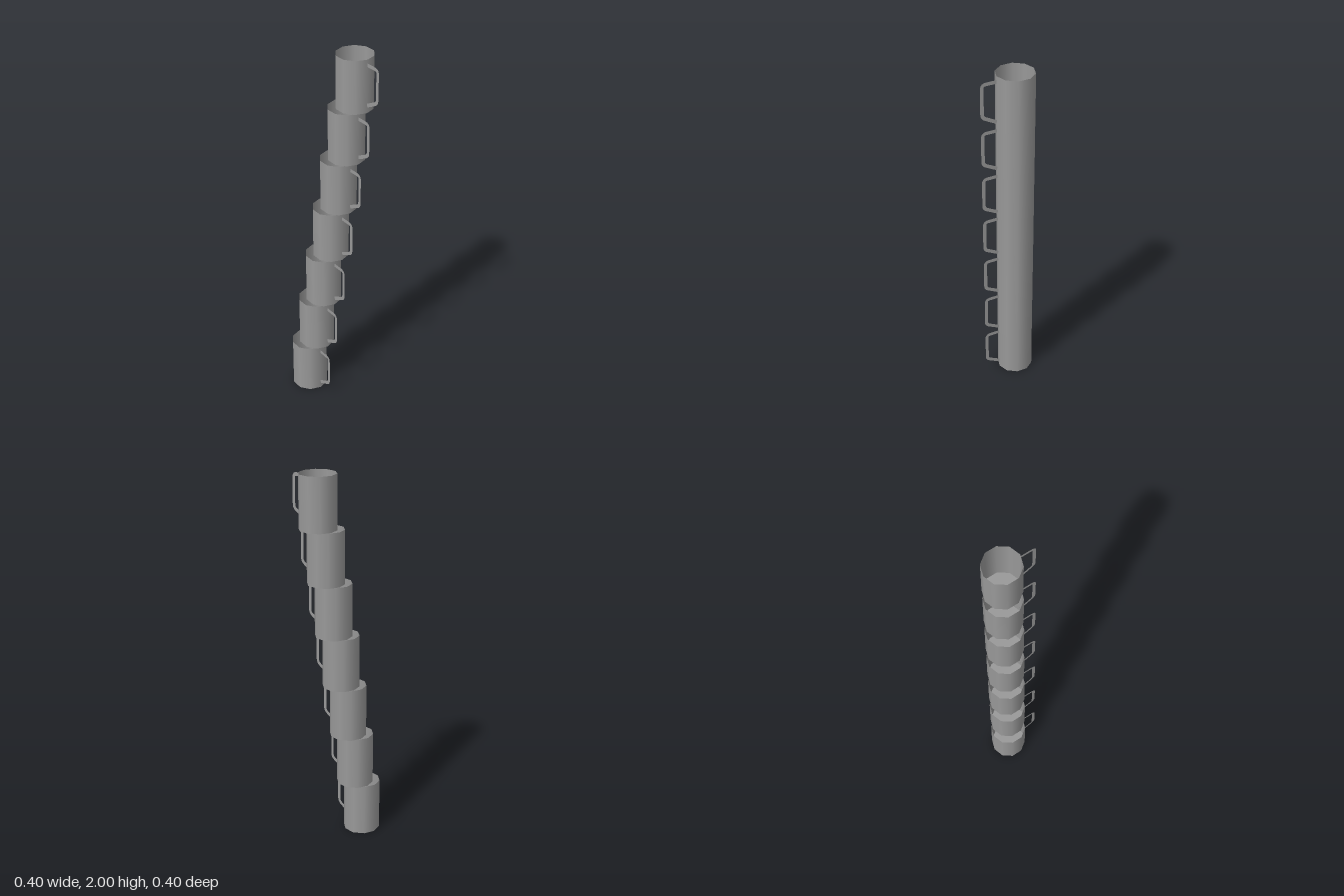
import * as THREE from 'three';

const COUNT = 7, H = 2 / COUNT, R = 0.099, SIDES = 10;

// Flat ribbon of constant width that follows a path in the xy plane
function ribbon(points, width) {
  const geo = new THREE.PlaneGeometry(1, 1, points.length - 1, 1);
  const pos = geo.attributes.position;
  points.forEach((p, i) => {
    const a = points[Math.max(i - 1, 0)];
    const b = points[Math.min(i + 1, points.length - 1)];
    const t = b.clone().sub(a).normalize();
    const nx = -t.y * width / 2, ny = t.x * width / 2;
    pos.setXYZ(i, p.x + nx, p.y + ny, 0);
    pos.setXYZ(i + points.length, p.x - nx, p.y - ny, 0);
  });
  return geo;
}

// Handle centre line: level top, upright grip, slanted foot, rounded corners
function handlePath() {
  const v = (x, y) => new THREE.Vector2(x, y);
  const points = [v(R, 0.256)];
  const bend = (a, c, b) => points.push(...new THREE.QuadraticBezierCurve(a, c, b).getPoints(5));
  bend(v(0.157, 0.256), v(0.177, 0.256), v(0.177, 0.236));
  bend(v(0.177, 0.1), v(0.177, 0.082), v(0.16, 0.073));
  points.push(v(R, 0.041));
  return points;
}

export function createModel() {
  const group = new THREE.Group();
  group.name = 'mugStack';
  const material = new THREE.MeshStandardMaterial({ color: 0x999999, side: THREE.DoubleSide });

  // Open-topped wall and closed base, corners pointing along x
  const wall = new THREE.CylinderGeometry(R, R, H, SIDES, 1, true).rotateY(Math.PI / 2).translate(0, H / 2, 0);
  const base = new THREE.CircleGeometry(R, SIDES).rotateX(Math.PI / 2);
  const handle = ribbon(handlePath(), 0.019);
  const parts = { wall, base, handle };

  // Leaning stack of identical mugs
  for (let i = 0; i < COUNT; i++) {
    const mug = new THREE.Group();
    mug.name = 'mug' + (i + 1);
    for (const [name, geo] of Object.entries(parts)) {
      const mesh = new THREE.Mesh(geo, material);
      mesh.name = name;
      mug.add(mesh);
    }
    mug.position.set(-0.101 + i * 0.0189, i * H, 0.1065 - i * 0.0357);
    group.add(mug);
  }
  return group;
}
